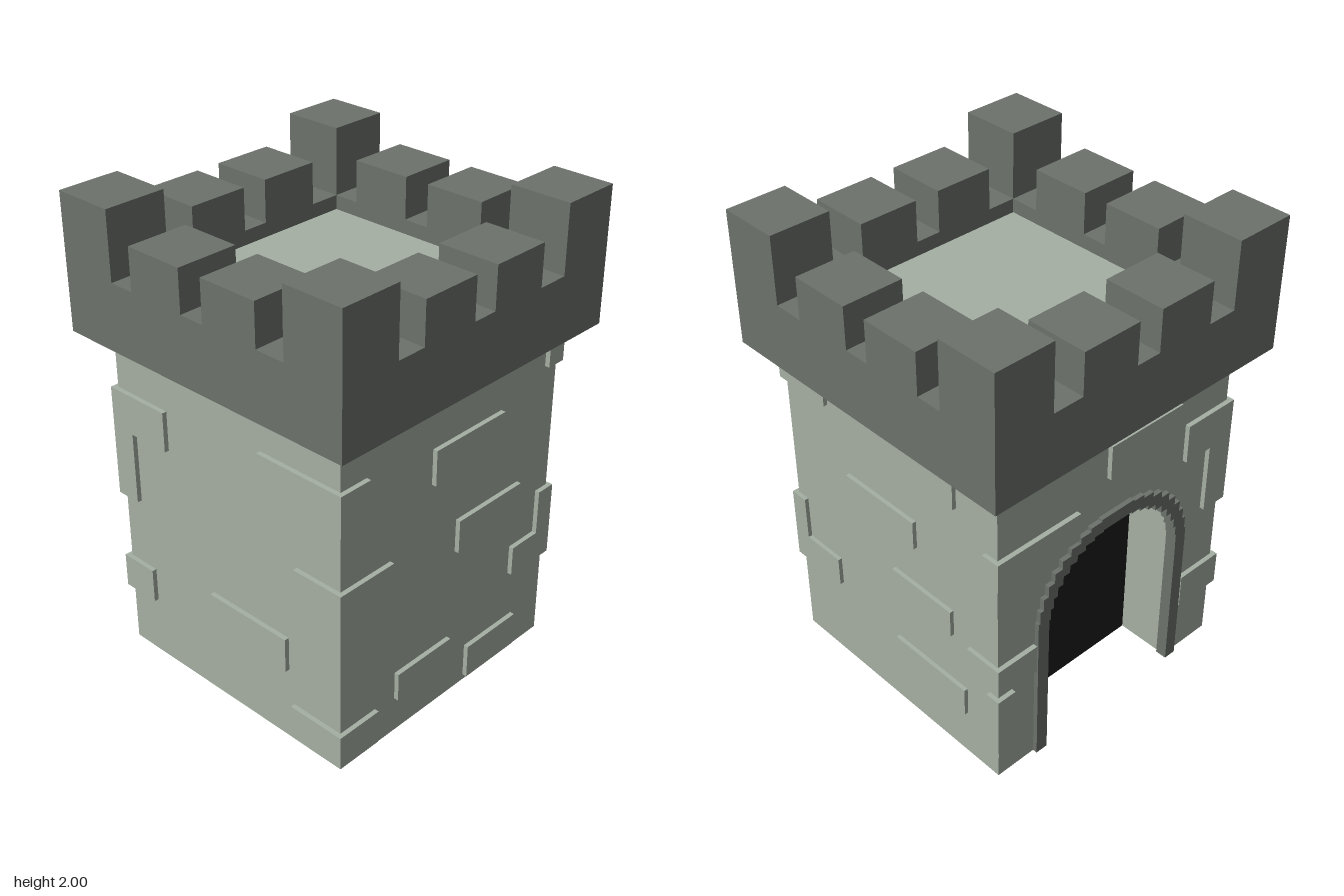
import * as THREE from 'three';

const wallMat = new THREE.MeshStandardMaterial({ name: 'pale stone', color: 0xa6b0a4 });
const trimMat = new THREE.MeshStandardMaterial({ name: 'dark stone', color: 0x6c726c });
const voidMat = new THREE.MeshStandardMaterial({ name: 'doorway black', color: 0x1c1c1c });

// Box given by its ranges on each axis
function block(parent, name, mat, [x0, x1], [y0, y1], [z0, z1]) {
  const mesh = new THREE.Mesh(new THREE.BoxGeometry(x1 - x0, y1 - y0, z1 - z0), mat);
  mesh.position.set((x0 + x1) / 2, (y0 + y1) / 2, (z0 + z1) / 2);
  mesh.name = name;
  parent.add(mesh);
}

// Stepped arch outline as (z, y) points, from the +z foot over to the -z foot
function archPoints(r, spring = 0.61, centre = -0.01, steps = 22) {
  const pts = [[centre + r, 0]];
  let z = centre + r;
  for (let i = 1; i <= steps; i++) {
    const a = (Math.PI * (i - 0.5)) / steps;
    const y = spring + r * Math.sin(a);
    const nz = centre + r * Math.cos(a);
    if (a < Math.PI / 2) pts.push([z, y], [nz, y]);
    else pts.push([nz, pts[pts.length - 1][1]], [nz, y]);
    z = nz;
  }
  pts.push([z, 0]);
  return pts;
}

// Extrude a (z, y) outline from x = xStart towards -x
function slab(parent, name, mat, pts, xStart, depth) {
  const shape = new THREE.Shape(pts.map(([z, y]) => new THREE.Vector2(z, y)));
  const geo = new THREE.ExtrudeGeometry(shape, { depth, bevelEnabled: false });
  geo.rotateY(-Math.PI / 2).translate(xStart, 0, 0);
  const mesh = new THREE.Mesh(geo, mat);
  mesh.name = name;
  parent.add(mesh);
}

export function createModel() {
  const tower = new THREE.Group();
  tower.name = 'castleTower';

  // Body: solid core plus a wall layer with the doorway recess
  const top = 1.66;
  const doorX = -0.35;
  block(tower, 'towerCore', wallMat, [doorX, 0.585], [0, top], [-0.6, 0.6]);
  const inner = archPoints(0.36);
  slab(tower, 'doorWall', wallMat,
    [[0.6, 0], [0.6, top], [-0.6, top], [-0.6, 0], ...inner.slice().reverse()], doorX, 0.24);
  slab(tower, 'doorwayBack', voidMat, inner, doorX, 0.004);

  // Stepped door surround
  slab(tower, 'doorFrame', trimMat,
    [...archPoints(0.405), ...archPoints(0.35).reverse()], -0.56, 0.05);

  // Raised bricks: [x range, y range, z range]
  const F = [0.55, 0.62], B = [-0.617, -0.55], R = [0.55, 0.605], L = [-0.61, -0.55];
  const bricks = new THREE.Group();
  bricks.name = 'raisedBricks';
  tower.add(bricks);
  [
    // front and its corners
    [[-0.61, -0.31], [1.03, 1.2], [0.365, 0.62]],
    [[-0.61, -0.5], [0.72, 1.03], [0.5, 0.62]],
    [[0.195, 0.605], [1.07, 1.24], [0.47, 0.62]],
    [[0.37, 0.605], [0.655, 0.825], [0.34, 0.62]],
    [[0.54, 0.605], [0.44, 0.655], [0.49, 0.62]],
    [[-0.09, 0.32], [0.33, 0.48], F],
    [[-0.61, -0.44], [0.265, 0.415], [0.4, 0.62]],
    [[0.345, 0.605], [0.025, 0.175], [0.41, 0.62]],
    // +x side
    [R, [1.05, 1.2], [-0.27, 0.12]],
    [R, [0.68, 0.825], [-0.4, -0.03]],
    [R, [0.16, 0.285], [-0.005, 0.3]],
    [R, [0.025, 0.175], [-0.42, -0.12]],
    // back and its corners
    [[0.335, 0.605], [1.285, 1.41], [-0.617, -0.53]],
    [[0.33, 0.605], [0.395, 0.525], [-0.617, -0.38]],
    [[0.525, 0.605], [0.525, 0.72], [-0.617, -0.53]],
    [[-0.38, 0.035], [1.22, 1.36], B],
    [[-0.155, 0.23], [0.895, 1.02], B],
    [[-0.35, -0.02], [0.59, 0.71], B],
    [[-0.42, -0.02], [0.22, 0.35], B],
    [[-0.61, -0.53], [0.985, 1.11], [-0.617, -0.21]],
    [[-0.61, -0.44], [0.46, 0.59], [-0.617, -0.42]],
    [[-0.61, -0.545], [0.13, 0.43], [-0.617, -0.53]],
    // above the door
    [L, [1.18, 1.33], [-0.06, 0.315]],
  ].forEach(([x, y, z]) => block(bricks, 'brick', wallMat, x, y, z));

  // Parapet ring
  const X0 = -0.697, X1 = 0.693, Z = 0.707, low = 1.72;
  const xIn = [-0.437, 0.433], zIn = [-0.45, 0.443];
  const parapet = new THREE.Group();
  parapet.name = 'parapet';
  tower.add(parapet);
  const ends = [[[X0, xIn[0]], [-Z, Z]], [[xIn[1], X1], [-Z, Z]],
    [xIn, [-Z, zIn[0]]], [xIn, [zIn[1], Z]]];
  ends.forEach(([x, z]) => block(parapet, 'parapetWall', trimMat, x, [1.44, low], z));

  // Tall corner merlons and two shorter ones on each side
  const xEnds = [[X0, xIn[0]], [xIn[1], X1]];
  const zEnds = [[-Z, zIn[0]], [zIn[1], Z]];
  const xMid = [[-0.327, -0.067], [0.043, 0.303]];
  const zMid = [[-0.315, -0.055], [0.055, 0.315]];
  for (const x of xEnds) {
    for (const z of zEnds) block(parapet, 'cornerMerlon', trimMat, x, [low, 2], z);
    for (const z of zMid) block(parapet, 'merlon', trimMat, x, [low, 1.895], z);
  }
  for (const x of xMid)
    for (const z of zEnds) block(parapet, 'merlon', trimMat, x, [low, 1.895], z);

  return tower;
}
